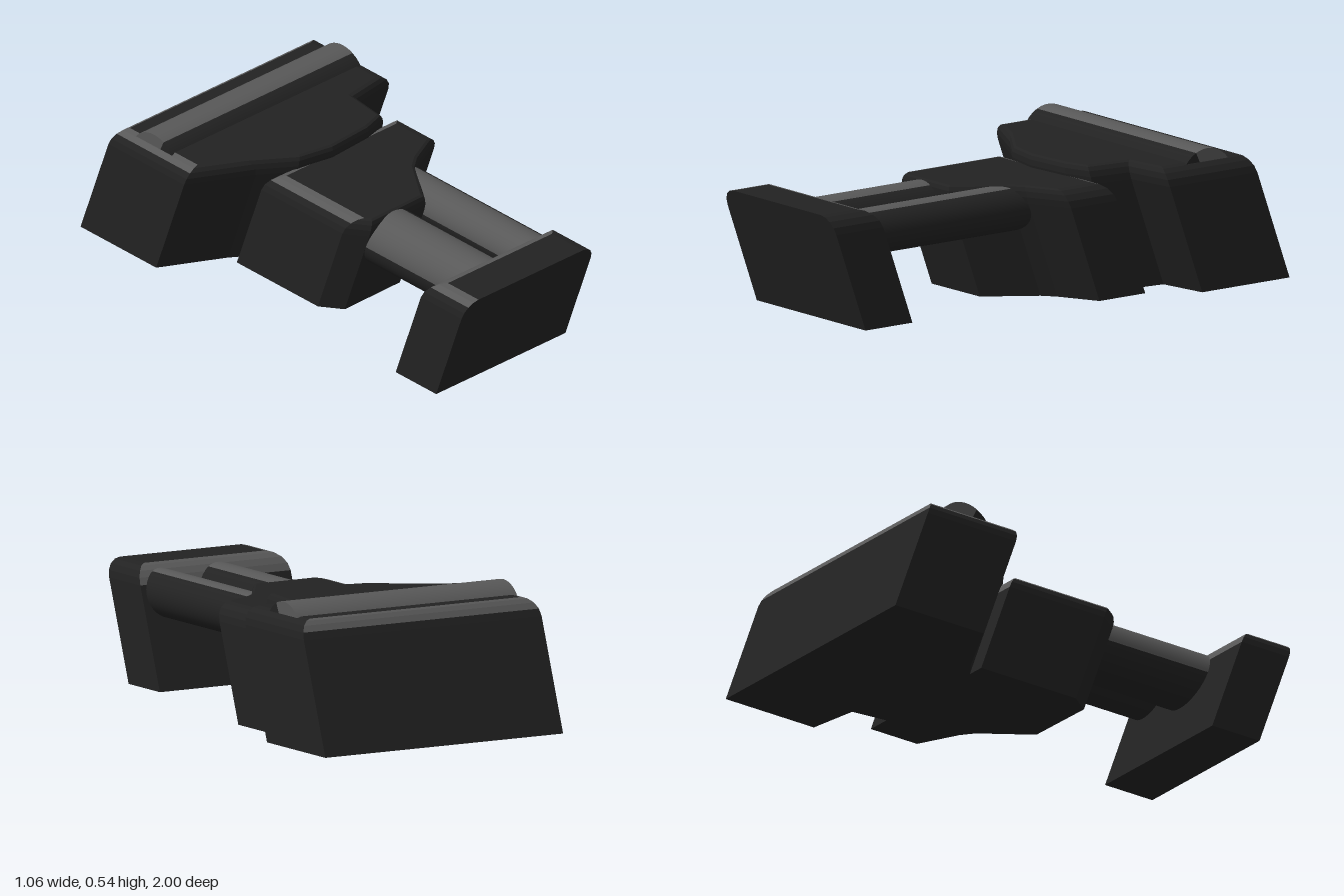
import * as THREE from 'three';

const charcoal = new THREE.MeshStandardMaterial({ color: 0x222222 });
charcoal.name = 'charcoal';
const grey = new THREE.MeshStandardMaterial({ color: 0x585858 });
grey.name = 'worn grey';
const LEAN = 0.36; // every block leans forward as it rises

// Moves each edge of the outline inward by its own distance
function inset(outline, dist, k) {
  const n = outline.length;
  const edge = (i) => {
    const [ax, az] = outline[i], [bx, bz] = outline[(i + 1) % n];
    const l = Math.hypot(bx - ax, bz - az);
    const nx = -(bz - az) / l, nz = (bx - ax) / l;
    return { nx, nz, c: nx * ax + nz * az + dist[i] * k };
  };
  return outline.map((_, i) => {
    const e = edge((i + n - 1) % n), f = edge(i);
    const det = e.nx * f.nz - e.nz * f.nx;
    return [(e.c * f.nz - f.c * e.nz) / det, (e.nx * f.c - f.nx * e.c) / det];
  });
}

// Leaning block over a plan outline [x, z], with a rounded top edge.
// light[i] is the first bevel band of edge i that is grey
function leaningBlock(name, outline, height, dist, light) {
  const bevel = 0.07, steps = 4, n = outline.length;
  const rings = [outline.map(([x, z]) => [x, 0, z])];
  for (let s = 0; s <= steps; s++) {
    const a = (s / steps) * Math.PI / 2;
    const y = height - bevel + bevel * Math.sin(a);
    rings.push(inset(outline, dist, 1 - Math.cos(a)).map(([x, z]) => [x, y, z + LEAN * y]));
  }
  const dark = [], pale = [];
  for (let r = 0; r < rings.length - 1; r++) {
    for (let i = 0; i < n; i++) {
      const j = (i + 1) % n, lo = rings[r], hi = rings[r + 1];
      const target = light[i] && r >= light[i] ? pale : dark;
      target.push(...lo[j], ...lo[i], ...hi[i], ...lo[j], ...hi[i], ...hi[j]);
    }
  }
  // top and bottom caps
  const cap = (ring, up) => {
    const pts = ring.map(([x, , z]) => new THREE.Vector2(x, z));
    for (const [a, b, c] of THREE.ShapeUtils.triangulateShape(pts, [])) {
      const area = THREE.ShapeUtils.area([pts[a], pts[b], pts[c]]);
      const order = (area > 0) === up ? [a, c, b] : [a, b, c];
      order.forEach((k) => dark.push(...ring[k]));
    }
  };
  cap(rings[0], false);
  cap(rings[rings.length - 1], true);

  const geo = new THREE.BufferGeometry();
  geo.setAttribute('position', new THREE.Float32BufferAttribute([...dark, ...pale], 3));
  geo.addGroup(0, dark.length / 3, 0);
  geo.addGroup(dark.length / 3, pale.length / 3, 1);
  geo.computeVertexNormals();
  const mesh = new THREE.Mesh(geo, [charcoal, grey]);
  mesh.name = name;
  return mesh;
}

// Round bar made of a grey arc and a charcoal arc, angles in degrees
function roundBar(name, radius, length, from, to) {
  const group = new THREE.Group();
  group.name = name;
  const arc = (start, end, mat, part) => {
    const g = new THREE.CylinderGeometry(radius, radius, length, 24, 1, false,
      THREE.MathUtils.degToRad(start), THREE.MathUtils.degToRad(end - start));
    const m = new THREE.Mesh(g, mat);
    m.name = part;
    group.add(m);
  };
  arc(from, to, grey, name + 'UpperArc');
  arc(to, from + 360, charcoal, name + 'LowerArc');
  return group;
}

export function createModel() {
  const model = new THREE.Group();
  model.name = 'leaningBlocks';

  // front plate
  model.add(leaningBlock('frontPlate',
    [[-0.4, 0.61], [0.27, 0.61], [0.27, 0.835], [-0.4, 0.835]],
    0.46, [0.055, 0.065, 0, 0.065], [1, 0, 0, 3]));

  // middle block, notched on its left for the thin tube
  model.add(leaningBlock('middleBlock',
    [[-0.28, -0.4], [0.41, -0.4], [0.41, -0.18], [0.25, -0.1], [0.2, -0.06],
      [0.07, 0.13], [-0.22, 0.135], [-0.28, 0.05]],
    0.448, [0.05, 0.06, 0.03, 0.03, 0.03, 0.03, 0.03, 0.06],
    [1, 0, 0, 0, 0, 0, 0, 3]));

  // wide rear block with a tapering nose
  model.add(leaningBlock('rearBlock',
    [[-0.53, -1], [0.53, -1], [0.53, -0.58], [0.33, -0.55], [0.31, -0.38], [0.2, -0.345],
      [0, -0.33], [-0.15, -0.36], [-0.28, -0.45], [-0.53, -0.58]],
    0.5, [0.03, 0.06, 0.04, 0.03, 0.03, 0.03, 0.03, 0.03, 0.04, 0.06],
    [2, 0, 0, 0, 0, 0, 0, 0, 0, 3]));

  // two tubes joining the front plate to the middle block
  for (const [name, x, r, z0] of [['thickTube', -0.1, 0.12, 0.1], ['thinTube', 0.16, 0.09, -0.08]]) {
    const z1 = 0.82;
    const tube = roundBar(name, r, z1 - z0, 155, 270);
    tube.rotation.x = Math.PI / 2;
    tube.position.set(x, 0.443 - r, (z0 + z1) / 2);
    model.add(tube);
  }

  // ridge across the rear block
  const ridge = roundBar('ridge', 0.125, 0.98, 65, 180);
  ridge.rotation.z = Math.PI / 2;
  ridge.position.set(0, 0.42, -0.635);
  model.add(ridge);

  return model;
}
